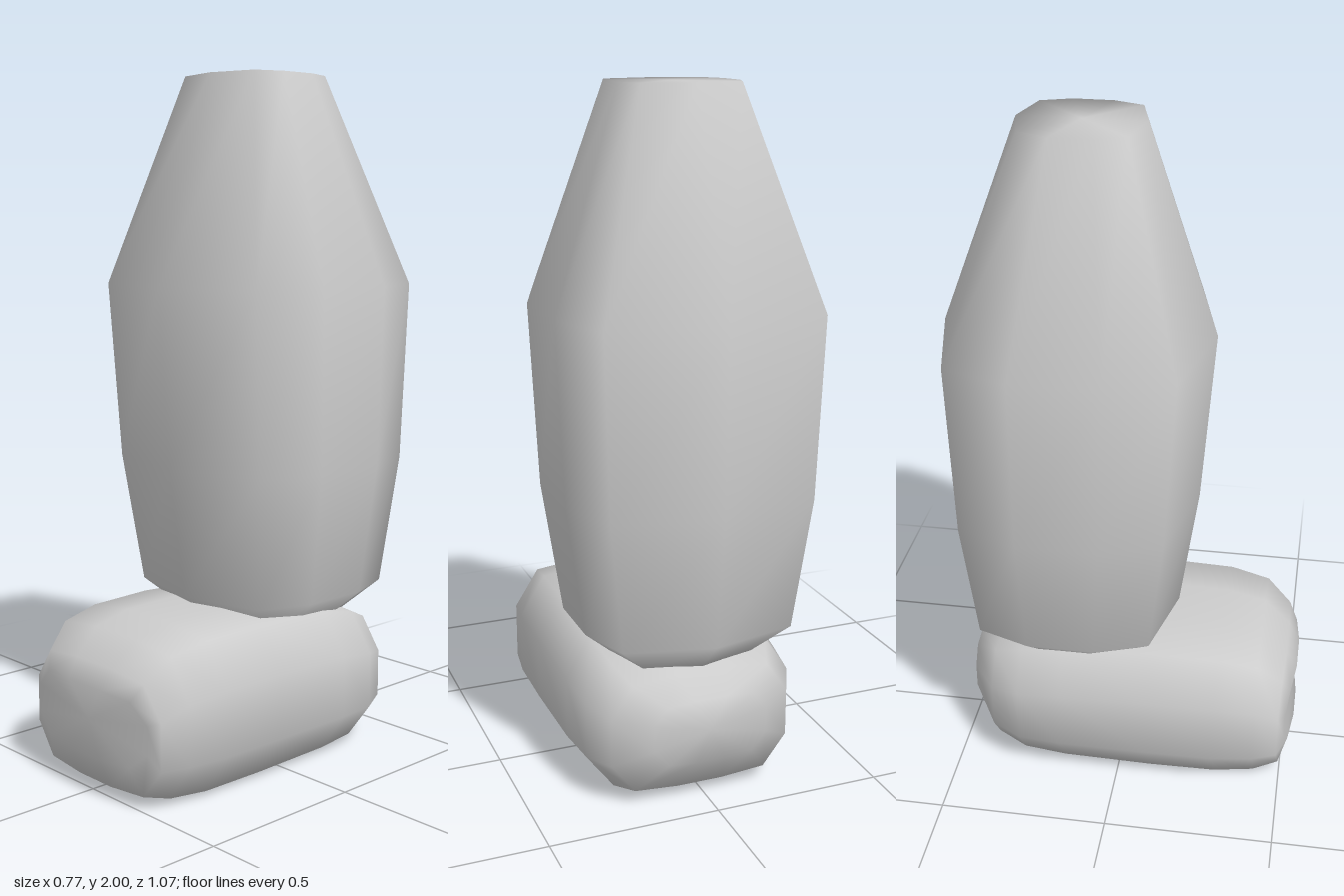
import * as THREE from 'three';

// Skin a stack of rings (each counter-clockwise seen from the far end), closing both ends smoothly.
function loft(rings) {
  const n = rings[0].length, last = rings.length - 1, index = [];
  const center = ring => ring.reduce((s, p) => s.add(p), new THREE.Vector3()).divideScalar(n);
  const points = [...rings.flat(), center(rings[0]), center(rings[last])];
  const startCap = n * rings.length, endCap = startCap + 1;
  for (let j = 0; j < n; j++) {
    const k = (j + 1) % n;
    for (let i = 0; i < last; i++) {
      const a = i * n + j, b = i * n + k;
      index.push(a, b, b + n, a, b + n, a + n);
    }
    index.push(startCap, k, j, endCap, last * n + j, last * n + k);
  }
  const geometry = new THREE.BufferGeometry().setFromPoints(points);
  geometry.setIndex(index);
  geometry.computeVertexNormals();
  return geometry;
}

export function createModel() {
  const group = new THREE.Group();
  const material = new THREE.MeshStandardMaterial({ color: 0xcccccc, roughness: 0.8 });
  const addPart = (name, rings) => {
    const mesh = new THREE.Mesh(loft(rings), material);
    mesh.name = name;
    group.add(mesh);
  };

  // Trouser leg: ten-sided section, as unit x and z, front first
  const side = [[0.82, 0.81], [1, 0.32], [1, -0.32], [0.82, -0.81]];
  const legSection = [[0, 1], ...side, [0, -1], ...side.map(([x, z]) => [-x, -z])];
  // Each level: y, half width, front z, back z
  const legLevels = [
    [0.39, 0.19, 0.03, -0.37],
    [0.495, 0.31, 0.155, -0.478],
    [0.88, 0.365, 0.21, -0.52],
    [1.4, 0.385, 0.248, -0.535],
    [2, 0.175, 0.05, -0.305],
  ];
  addPart('trouserLeg', legLevels.map(([y, w, front, back]) => legSection.map(([x, z]) =>
    new THREE.Vector3(x * w, y, (front + back) / 2 + z * (front - back) / 2))));

  // Boot: chamfered section, as unit x and height fraction, from the sole up
  const half = [[0.25, 0], [0.74, 0.03], [1, 0.29], [1, 0.69], [0.76, 0.96], [0.28, 1]];
  const bootSection = [...half, ...half.slice().reverse().map(([x, y]) => [-x, y])];
  // Each station from heel to toe: z, half width, bottom, top, forward bow
  const bootStations = [
    [-0.465, 0.17, 0.15, 0.34, -0.005],
    [-0.39, 0.27, 0.04, 0.39, 0],
    [-0.3, 0.315, 0.015, 0.43, 0],
    [-0.17, 0.33, 0.008, 0.46, 0],
    [0.1, 0.333, 0.005, 0.475, 0],
    [0.3, 0.328, 0.005, 0.47, 0],
    [0.42, 0.31, 0.015, 0.445, 0],
    [0.49, 0.275, 0.035, 0.375, 0.01],
    [0.51, 0.24, 0.12, 0.32, 0.025],
  ];
  addPart('boot', bootStations.map(([z, w, low, high, bow]) => bootSection.map(([x, y]) =>
    new THREE.Vector3(0.01 + x * w, low + y * (high - low), z + bow * (1 - x * x)))));

  return group;
}
